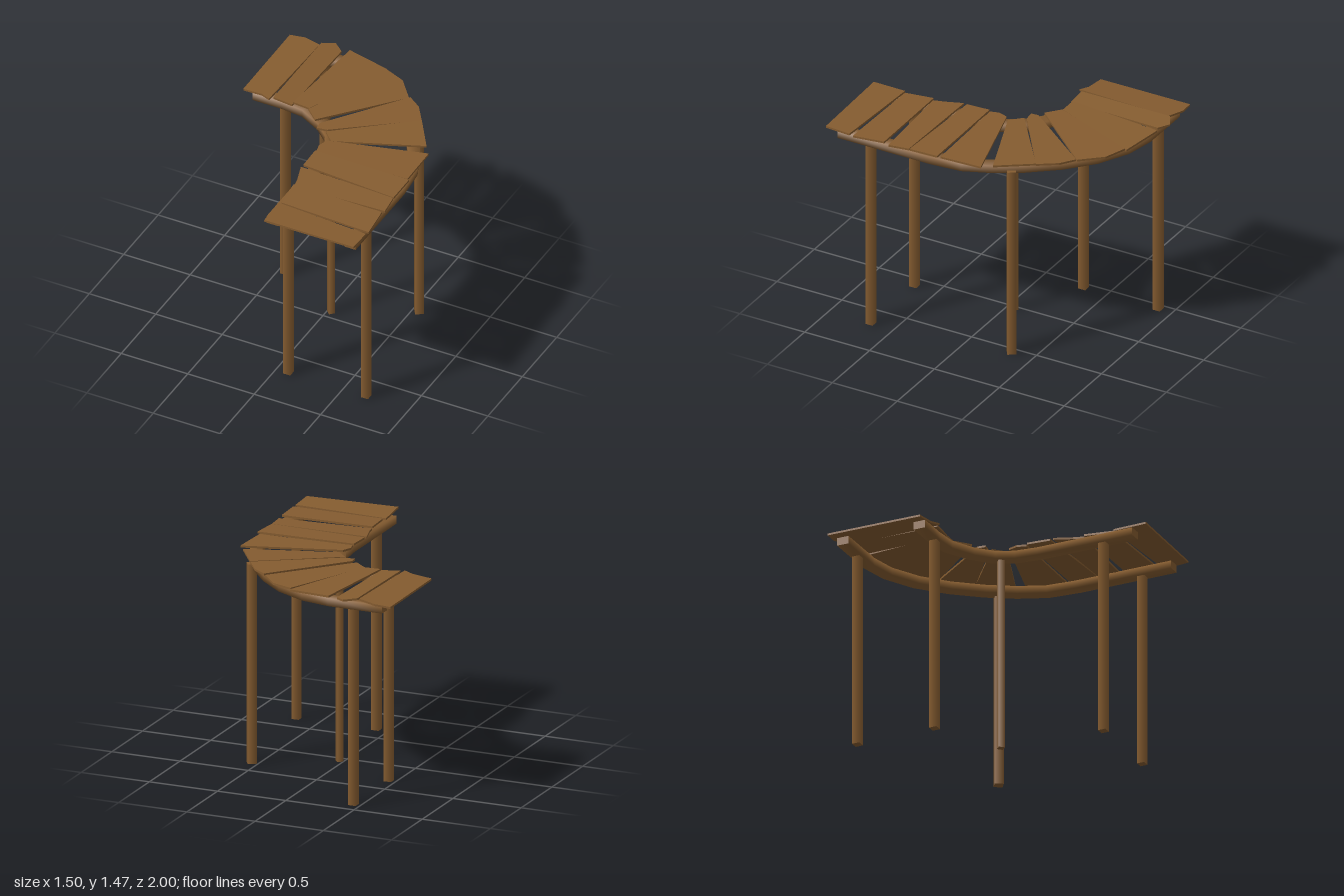
import * as THREE from 'three';

const wood = new THREE.MeshStandardMaterial({ color: 0x855c30 });
wood.name = 'brownWood';

// Flat board cut to an outline of [x, z] points, tilted by slopes along x and z
function makePlank(outline, y, slopeX, slopeZ) {
  const shape = new THREE.Shape(outline.map(([x, z]) => new THREE.Vector2(x, -z)));
  const geo = new THREE.ExtrudeGeometry(shape, { depth: 0.014, bevelEnabled: false });
  geo.rotateX(-Math.PI / 2);
  geo.computeBoundingBox();
  const c = geo.boundingBox.getCenter(new THREE.Vector3());
  const p = geo.attributes.position;
  for (let i = 0; i < p.count; i++) {
    p.setY(i, p.getY(i) + y + (p.getX(i) - c.x) * slopeX + (p.getZ(i) - c.z) * slopeZ);
  }
  geo.computeVertexNormals();
  return new THREE.Mesh(geo, wood);
}

// Beam of rectangular section swept along [x, z] points, softly shaded around its sides
function makeRail(path, width, bottom, top) {
  const pts = path.map(([x, z]) => new THREE.Vector2(x, z));
  const pos = [];
  const idx = [];
  pts.forEach((p, i) => {
    const before = pts[Math.max(i - 1, 0)];
    const after = pts[Math.min(i + 1, pts.length - 1)];
    const d = after.clone().sub(before).normalize();
    const sx = -d.y * width / 2;
    const sz = d.x * width / 2;
    pos.push(p.x + sx, bottom, p.y + sz, p.x + sx, top, p.y + sz);
    pos.push(p.x - sx, top, p.y - sz, p.x - sx, bottom, p.y - sz);
  });
  for (let i = 0; i < pts.length - 1; i++) {
    for (let k = 0; k < 4; k++) {
      const a = i * 4 + k;
      const b = i * 4 + (k + 1) % 4;
      idx.push(a, a + 4, b, b, a + 4, b + 4);
    }
  }
  // end caps on their own corners
  const last = (pts.length - 1) * 4;
  const n = pos.length / 3;
  for (const start of [0, last]) {
    for (let k = 0; k < 12; k++) pos.push(pos[start * 3 + k]);
  }
  idx.push(n, n + 1, n + 2, n, n + 2, n + 3);
  idx.push(n + 4, n + 6, n + 5, n + 4, n + 7, n + 6);
  const geo = new THREE.BufferGeometry();
  geo.setAttribute('position', new THREE.Float32BufferAttribute(pos, 3));
  geo.setIndex(idx);
  geo.computeVertexNormals();
  return new THREE.Mesh(geo, wood);
}

// Square post with softly shaded corners
function makePost(x, z, side, turn) {
  const h = 1.4;
  const geo = new THREE.CylinderGeometry(side / Math.SQRT2, side / Math.SQRT2, h, 4);
  const mesh = new THREE.Mesh(geo, wood);
  mesh.rotation.y = Math.PI / 4 + turn;
  mesh.position.set(x, h / 2, z);
  return mesh;
}

export function createModel() {
  const model = new THREE.Group();
  model.name = 'curvedWalkway';
  const add = (group, mesh, name) => { mesh.name = name; group.add(mesh); };

  // Deck boards fanning around the bend: outline, base height, slope x, slope z
  const deck = new THREE.Group();
  deck.name = 'deck';
  model.add(deck);
  const planks = [
    [[[-0.75, -0.965], [-0.64, -0.975], [-0.51, -0.935], [-0.53, -0.24], [-0.6, -0.272], [-0.745, -0.28]], 1.441, 0.08, 0],
    [[[-0.505, -0.95], [-0.42, -1], [-0.35, -0.945], [-0.37, -0.265], [-0.51, -0.265]], 1.447, -0.1, -0.01],
    [[[-0.3, -0.97], [0.01, -0.91], [-0.245, -0.275], [-0.37, -0.28]], 1.445, -0.04, -0.01],
    [[[0.01, -0.9], [0.165, -0.84], [0.29, -0.69], [-0.155, -0.185], [-0.25, -0.27]], 1.442, -0.015, -0.015],
    [[[0.3, -0.69], [0.4, -0.62], [0.49, -0.49], [-0.03, -0.12], [-0.105, -0.11], [-0.11, -0.165]], 1.444, 0.015, -0.01],
    [[[0.49, -0.49], [0.65, -0.25], [0.05, -0.02], [-0.03, -0.1]], 1.445, 0.01, -0.025],
    [[[0.7, -0.185], [0.7, 0.125], [0.02, 0.135], [0.005, 0.07], [0.03, 0]], 1.445, -0.012, -0.03],
    [[[0.015, 0.14], [0.72, 0.14], [0.715, 0.355], [0.015, 0.315]], 1.446, -0.01, -0.04],
    [[[0.01, 0.34], [0.715, 0.36], [0.73, 0.51], [0.065, 0.545], [0.05, 0.47]], 1.438, -0.01, -0.04],
    [[[0.06, 0.545], [0.725, 0.545], [0.745, 0.775], [0.08, 0.755]], 1.443, -0.01, -0.04],
    [[[0.06, 0.765], [0.74, 0.805], [0.74, 0.985], [0.075, 0.998]], 1.446, -0.01, 0.05],
  ];
  planks.forEach((p, i) => add(deck, makePlank(...p), `plank${i + 1}`));

  // Two bent rails carrying the boards
  const inner = [[0.09, 0.91], [0.09, 0.2], [0.07, 0.03], [0.01, -0.1], [-0.11, -0.21], [-0.28, -0.3], [-0.45, -0.318], [-0.675, -0.318]];
  const outer = [[0.675, 0.91], [0.675, 0.2], [0.655, -0.02], [0.575, -0.21], [0.465, -0.39], [0.31, -0.58],
    [0.13, -0.74], [-0.08, -0.85], [-0.28, -0.89], [-0.675, -0.89]];
  add(model, makeRail(inner, 0.085, 1.38, 1.435), 'innerRail');
  add(model, makeRail(outer, 0.085, 1.38, 1.435), 'outerRail');

  // Posts under the rails
  const posts = [
    [0.09, 0.675, 0.055, 0], [0.675, 0.675, 0.052, 0],
    [0.03, -0.06, 0.043, Math.PI / 4], [0.55, -0.335, 0.06, 0.6],
    [-0.448, -0.318, 0.055, 0], [-0.448, -0.893, 0.055, 0],
  ];
  posts.forEach((p, i) => add(model, makePost(...p), `post${i + 1}`));
  return model;
}
